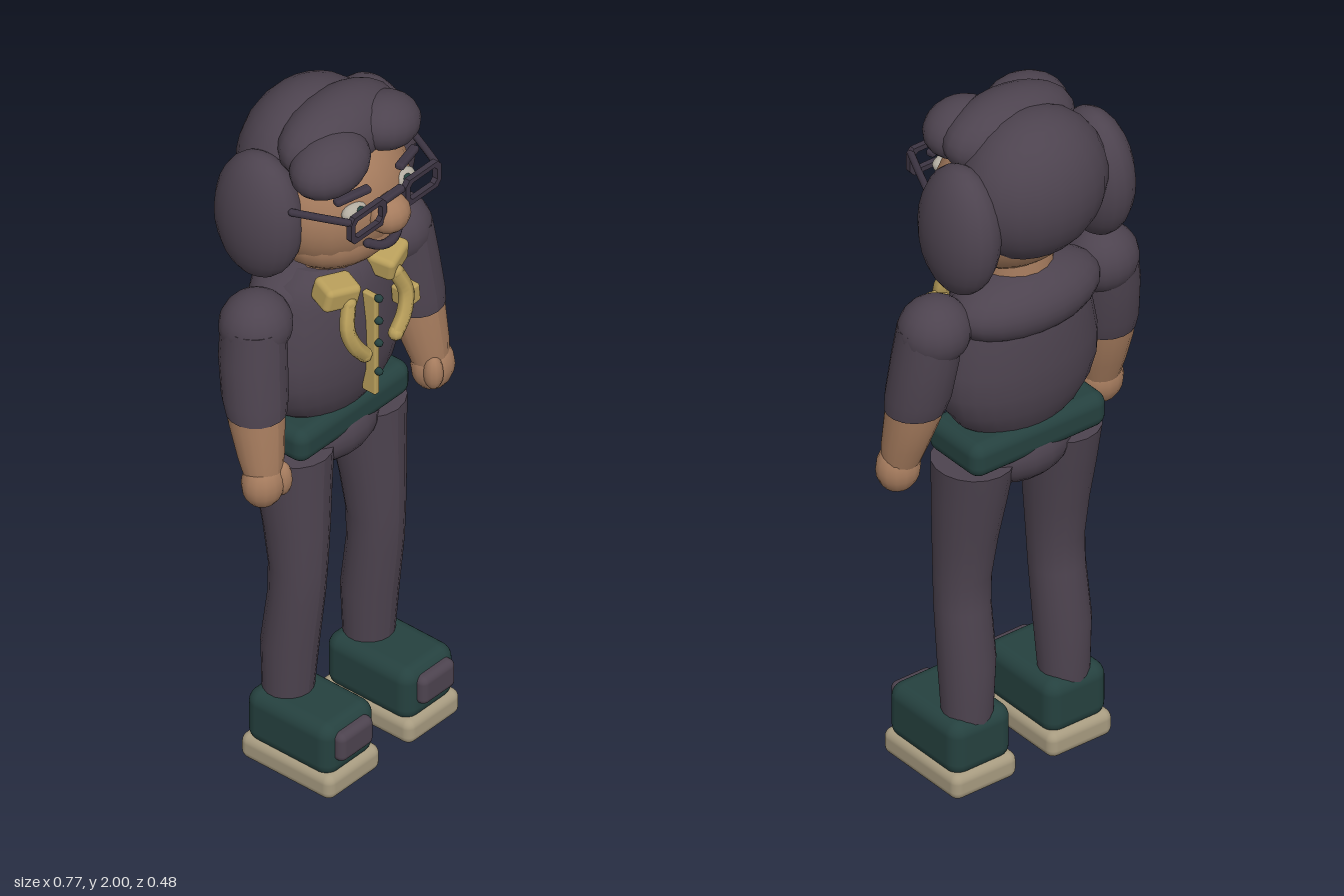
import * as THREE from 'three';
import { RoundedBoxGeometry } from 'three/addons/geometries/RoundedBoxGeometry.js';

const mat = (name, color) => {
  const m = new THREE.MeshStandardMaterial({ color });
  m.name = name;
  return m;
};

export function createModel() {
  const root = new THREE.Group();
  root.name = 'standingFigure';
  const cloth = mat('darkPlum', 0x4d434f);
  const frameMat = mat('frameDark', 0x3d3543);
  const skin = mat('skin', 0xa67c5e);
  const green = mat('deepGreen', 0x25413f);
  const gold = mat('scarfGold', 0xb99f5b);
  const soleMat = mat('soleBeige', 0xa79b80);
  const eyeMat = mat('eyeWhite', 0xb4aea2);

  const add = (name, geo, m, p = [0, 0, 0], r = [0, 0, 0]) => {
    const mesh = new THREE.Mesh(geo, m);
    mesh.name = name;
    mesh.position.set(...p);
    mesh.rotation.set(...r);
    root.add(mesh);
    return mesh;
  };
  const ball = (name, m, p, s, r, n = 18) =>
    add(name, new THREE.SphereGeometry(1, n, Math.round(n * 0.7)), m, p, r).scale.set(...s);
  const box = (name, m, p, s, radius, r) =>
    add(name, new RoundedBoxGeometry(...s, 3, radius), m, p, r);
  const tube = (name, m, pts, radius, n = 8) => {
    const path = new THREE.CatmullRomCurve3(pts.map((q) => new THREE.Vector3(...q)));
    add(name, new THREE.TubeGeometry(path, 12, radius, n), m);
    [pts[0], pts[pts.length - 1]].forEach((q) => ball(name + 'End', m, q, [radius, radius, radius], undefined, 8));
  };
  // Closed loft through horizontal rings, top first: [x, y, z, rx, rz]
  const loft = (name, m, rings, n = 18) => {
    const k = rings.length - 1;
    const geo = new THREE.CylinderGeometry(1, 1, 1, n, k);
    const a = geo.attributes.position;
    for (let i = 0; i < a.count; i++) {
      const [x, y, z, rx, rz] = rings[Math.round((0.5 - a.getY(i)) * k)];
      a.setXYZ(i, x + a.getX(i) * rx, y, z + a.getZ(i) * rz);
    }
    geo.computeVertexNormals();
    add(name, geo, m);
  };

  // Head and face
  ball('head', skin, [0, 1.71, 0], [0.215, 0.2, 0.18], undefined, 24);
  ball('jaw', skin, [0, 1.625, 0.015], [0.185, 0.118, 0.15], undefined, 22);
  loft('neck', skin, [[0, 1.58, -0.01, 0.1, 0.09], [0, 1.46, -0.02, 0.1, 0.09]]);
  ball('nose', skin, [0, 1.715, 0.185], [0.06, 0.055, 0.055], undefined, 14);
  tube('moustache', frameMat, [[-0.06, 1.643, 0.168], [-0.03, 1.627, 0.183], [0, 1.623, 0.188],
    [0.03, 1.627, 0.183], [0.06, 1.643, 0.168]], 0.013);

  // Hair
  ball('backHair', cloth, [0, 1.78, -0.08], [0.21, 0.205, 0.165], undefined, 22);
  ball('crownHair', cloth, [0, 1.895, 0.015], [0.195, 0.105, 0.11], undefined, 20);
  ball('fringeRight', cloth, [-0.11, 1.882, 0.085], [0.118, 0.08, 0.092], [0, 0, 0.12]);
  ball('fringeLeft', cloth, [0.1, 1.9, 0.085], [0.1, 0.075, 0.088], [0, 0, -0.2]);

  // Glasses frame outline with a hole
  const rim = new THREE.Shape();
  const rect = (path, w, h) => {
    const pts = [[-w, -h * 0.6], [-w * 0.8, -h], [w * 0.8, -h], [w, -h * 0.6],
      [w, h * 0.6], [w * 0.8, h], [-w * 0.8, h], [-w, h * 0.6]];
    path.setFromPoints(pts.map((q) => new THREE.Vector2(...q)));
    return path;
  };
  rect(rim, 0.068, 0.04);
  rim.holes.push(rect(new THREE.Path(), 0.052, 0.026));
  const rimGeo = new THREE.ExtrudeGeometry(rim, { depth: 0.016, bevelEnabled: false });
  box('glassesBridge', frameMat, [0, 1.775, 0.195], [0.085, 0.018, 0.024], 0.007);

  for (const s of [-1, 1]) {
    const side = s > 0 ? 'left' : 'right';
    // Eyes, brows, glasses
    ball(side + 'Eye', eyeMat, [s * 0.092, 1.755, 0.15], [0.042, 0.024, 0.024], undefined, 12);
    ball(side + 'Iris', green, [s * 0.09, 1.755, 0.166], [0.018, 0.019, 0.014], undefined, 10);
    box(side + 'Brow', frameMat, [s * 0.105, 1.812, 0.155], [0.105, 0.02, 0.025], 0.008, [0, s * 0.3, -s * 0.08]);
    add(side + 'GlassesRim', rimGeo, frameMat, [s * 0.105, 1.757, 0.195]);
    tube(side + 'GlassesArm', frameMat, [[s * 0.165, 1.782, 0.2], [s * 0.195, 1.782, 0.135], [s * 0.228, 1.782, 0.06]], 0.01);
    ball(side + 'SideHair', cloth, [s * 0.215, 1.713, -0.06], [0.089, 0.184, 0.13], [0, 0, s * 0.03], 20);

    // Arm
    ball(side + 'Shoulder', cloth, [s * 0.268, 1.412, -0.025], [0.098, 0.093, 0.093]);
    loft(side + 'Sleeve', cloth, [[s * 0.28, 1.43, -0.022, 0.083, 0.085], [s * 0.29, 1.33, -0.015, 0.088, 0.088],
      [s * 0.3, 1.22, 0.0, 0.086, 0.085], [s * 0.304, 1.175, 0.008, 0.08, 0.078]]);
    loft(side + 'Forearm', skin, [[s * 0.303, 1.24, 0.0, 0.078, 0.076], [s * 0.308, 1.15, 0.012, 0.073, 0.073],
      [s * 0.316, 1.06, 0.033, 0.062, 0.06], [s * 0.32, 1.0, 0.045, 0.05, 0.048]]);
    ball(side + 'Hand', skin, [s * 0.325, 0.982, 0.05], [0.061, 0.07, 0.054], undefined, 14);
    ball(side + 'Thumb', skin, [s * 0.29, 0.99, 0.082], [0.026, 0.05, 0.027], undefined, 12);

    // Trouser leg
    loft(side + 'Leg', cloth, [[s * 0.14, 0.965, -0.018, 0.105, 0.112], [s * 0.143, 0.85, -0.008, 0.096, 0.1],
      [s * 0.146, 0.73, 0.005, 0.084, 0.088], [s * 0.149, 0.61, 0.013, 0.075, 0.077],
      [s * 0.151, 0.52, 0.01, 0.074, 0.074], [s * 0.153, 0.36, -0.01, 0.076, 0.075],
      [s * 0.155, 0.18, -0.016, 0.066, 0.065]]);

    // Shoe
    box(side + 'Shoe', green, [s * 0.153, 0.137, 0.057], [0.192, 0.16, 0.285], 0.04);
    box(side + 'Sole', soleMat, [s * 0.153, 0.0375, 0.057], [0.203, 0.075, 0.305], 0.025);
    box(side + 'ToePatch', cloth, [s * 0.157, 0.152, 0.195], [0.128, 0.085, 0.055], 0.02);

    // Scarf collar and hanging ribbon
    box(side + 'CollarKnot', gold, [s * 0.098, 1.475, 0.095], [0.105, 0.07, 0.08], 0.016, [0.15, s * 0.3, s * 0.12]);
    tube(side + 'Ribbon', gold, [[s * 0.09, 1.45, 0.13], [s * 0.112, 1.385, 0.145],
      [s * 0.095, 1.33, 0.155], [s * 0.06, 1.285, 0.157]], 0.021, 6);
  }

  // Torso
  loft('torso', cloth, [[0, 1.505, -0.02, 0.12, 0.085], [0, 1.48, -0.02, 0.175, 0.112], [0, 1.42, -0.02, 0.2, 0.128],
    [0, 1.34, -0.02, 0.218, 0.138], [0, 1.26, -0.02, 0.234, 0.141], [0, 1.19, -0.02, 0.234, 0.138],
    [0, 1.13, -0.02, 0.215, 0.125], [0, 1.08, -0.02, 0.18, 0.105], [0, 1.04, -0.02, 0.13, 0.08]], 26);
  ball('upperBack', cloth, [0, 1.425, -0.05], [0.225, 0.1, 0.125], undefined, 22);
  box('placket', gold, [0, 1.275, 0.125], [0.018, 0.31, 0.045], 0.005);
  for (const y of [1.425, 1.355, 1.285, 1.195]) ball('button', green, [0, y, 0.152], [0.011, 0.011, 0.013], undefined, 8);
  box('chestTag', gold, [0.135, 1.353, 0.125], [0.052, 0.055, 0.055], 0.006, [0, 0, 0.1]);

  // Belt and hips
  box('belt', green, [0, 1.022, -0.022], [0.43, 0.1, 0.21], 0.035);
  ball('hips', cloth, [0, 0.965, -0.02], [0.155, 0.1, 0.115]);

  return root;
}
